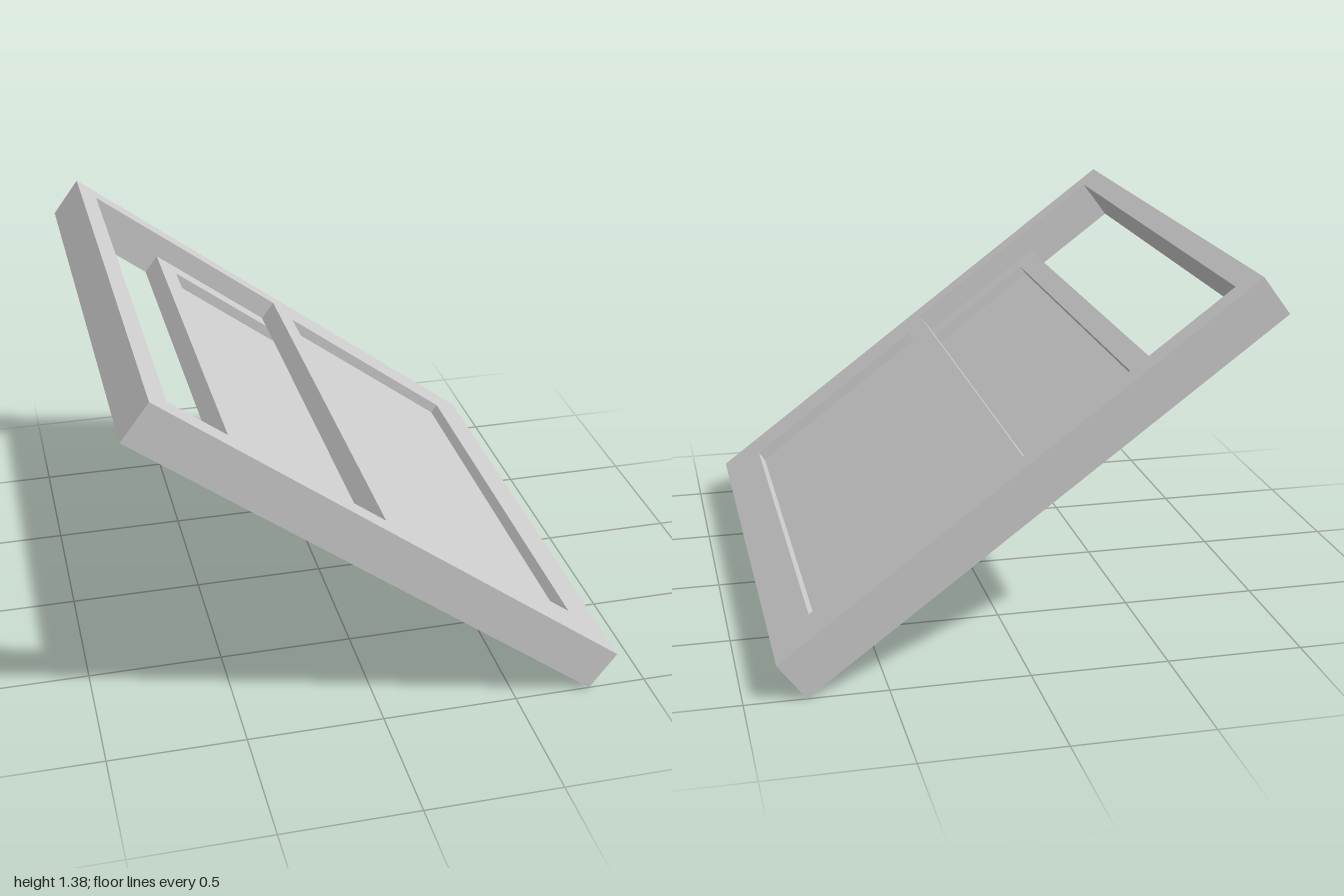
import * as THREE from 'three';

const UNIT = 1 / 12;                 // rail width and sash thickness
const LENGTH = 25 * UNIT;            // outer frame along the slope
const WIDTH = 2;
const TILT = Math.atan2(3, 4);

const material = new THREE.MeshStandardMaterial({ color: 0xcccccc, flatShading: true });
const paneMaterial = new THREE.MeshStandardMaterial({ color: 0xcccccc, side: THREE.DoubleSide });

function rectangle(path, length, width) {
  const a = length / 2, b = width / 2;
  path.moveTo(-a, -b);
  path.lineTo(a, -b);
  path.lineTo(a, b);
  path.lineTo(-a, b);
  path.closePath();
  return path;
}

// Rectangular frame lying flat, from y = 0 up to its depth
function frame(name, length, width, depth) {
  const shape = rectangle(new THREE.Shape(), length, width);
  shape.holes.push(rectangle(new THREE.Path(), length - 2 * UNIT, width - 2 * UNIT));
  const geometry = new THREE.ExtrudeGeometry(shape, { depth, bevelEnabled: false });
  geometry.rotateX(-Math.PI / 2);
  const mesh = new THREE.Mesh(geometry, material);
  mesh.name = name;
  return mesh;
}

// Sliding sash: a frame with a thin pane halfway through its depth
function sash(name, x, y) {
  const length = 12 * UNIT, width = WIDTH - 2 * UNIT;
  const group = new THREE.Group();
  group.name = name;
  const pane = new THREE.Mesh(
    new THREE.PlaneGeometry(length - 2 * UNIT, width - 2 * UNIT).rotateX(-Math.PI / 2), paneMaterial);
  pane.name = name + 'Pane';
  pane.position.y = UNIT / 2;
  group.add(frame(name + 'Frame', length, width, UNIT), pane);
  group.position.set(x, y, 0);
  return group;
}

export function createModel() {
  const model = new THREE.Group();
  model.name = 'slidingWindow';

  const tilted = new THREE.Group();
  tilted.name = 'tiltedWindow';
  const outer = frame('outerFrame', LENGTH, WIDTH, 2 * UNIT);
  outer.position.y = -UNIT;

  // Lower sash sits in the front track; upper sash is slid part way down the back track
  const lower = sash('lowerSash', LENGTH / 2 - 7 * UNIT, 0);
  const upper = sash('upperSash', -0.1, -UNIT);
  tilted.add(outer, lower, upper);

  tilted.rotation.z = -TILT;
  tilted.position.y = (LENGTH * Math.sin(TILT) + 2 * UNIT * Math.cos(TILT)) / 2;
  model.add(tilted);
  return model;
}
